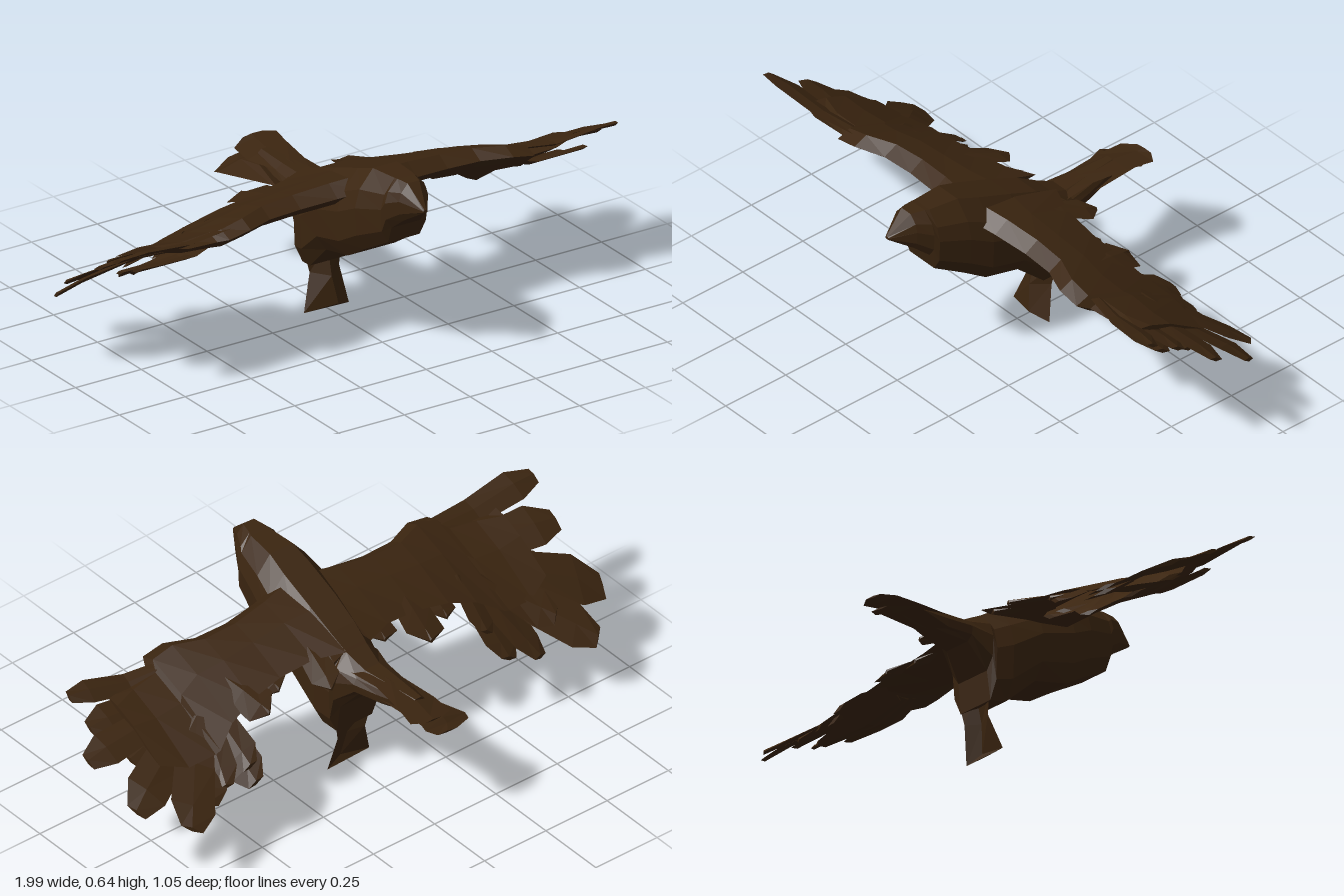
import * as THREE from 'three';

const plumage = new THREE.MeshStandardMaterial({ color: 0x3b2510, flatShading: true, side: THREE.DoubleSide });
plumage.name = 'dark brown plumage';

// Skin a list of equal-length rings of [x, y, z] points and cap both ends
function loft(rings) {
  const n = rings[0].length, index = [], last = (rings.length - 1) * n;
  for (let i = 0; i < rings.length - 1; i++) {
    for (let j = 0; j < n; j++) {
      const a = i * n + j, b = i * n + (j + 1) % n;
      index.push(a, b, b + n, a, b + n, a + n);
    }
  }
  for (let j = 1; j < n - 1; j++) index.push(0, j + 1, j, last, last + j, last + j + 1);
  const g = new THREE.BufferGeometry();
  g.setAttribute('position', new THREE.Float32BufferAttribute(rings.flat(2), 3));
  g.setIndex(index);
  g.computeVertexNormals();
  return g;
}

function part(name, geometry, parent) {
  const mesh = new THREE.Mesh(geometry, plumage);
  mesh.name = name;
  parent.add(mesh);
}

// Height of the wing surface: slopes down to the rear, more so toward the tip, with a dip at the wrist
function wingHeight(x, z) {
  const ax = Math.abs(x), t = (ax - 0.2) / 0.7;
  const dip = 0.035 * Math.max(0, 1 - Math.abs(ax - 0.65) / 0.2);
  const droop = 0.16 * Math.min(0, z + 0.03) * Math.min(1, ax * 2);
  return 0.5 - 0.08 * t + z * (0.3 + 0.19 * t) - dip + droop;
}

// Feather with a low ridge, following the wing surface; it sinks by sag toward its tip
function feather(rx, rz, tx, tz, width, drop, sag) {
  const len = Math.hypot(tx - rx, tz - rz);
  const px = (tz - rz) / len, pz = -(tx - rx) / len;
  const tipWidth = Math.abs(rx) < 0.45 ? 0.08 : 0.5;
  return loft([[0, 0.7], [0.4, 0.9], [0.8, 1], [1, tipWidth]].map(([t, w]) => {
    const cx = rx + (tx - rx) * t, cz = rz + (tz - rz) * t, h = width * w / 2;
    const y = (x, z) => wingHeight(x, z) - drop - sag * t;
    const [ax, az, bx, bz] = [cx + px * h, cz + pz * h, cx - px * h, cz - pz * h];
    const m = y(cx, cz);
    return [[ax, y(ax, az), az], [cx, m + 0.008, cz], [bx, y(bx, bz), bz], [cx, m - 0.008, cz]];
  }));
}

// Feathers per wing: root |x|, root z, tip |x|, tip z, width, sag
const leftFeathers = [
  [0.55, 0.16, 0.91, 0.215, 0.08, 0], [0.55, 0.11, 0.91, 0.11, 0.11, 0], [0.6, 0.05, 0.99, 0.02, 0.11, 0],
  [0.6, 0, 0.94, -0.16, 0.13, 0], [0.58, -0.02, 0.81, -0.28, 0.14, 0.01], [0.56, -0.03, 0.7, -0.23, 0.12, 0.01],
  [0.55, 0, 0.62, -0.215, 0.11, 0.02], [0.52, 0, 0.52, -0.215, 0.11, 0.01], [0.43, 0.02, 0.38, -0.14, 0.13, 0],
  [0.32, 0.02, 0.3, -0.09, 0.12, 0], [0.13, 0.02, 0.165, -0.19, 0.1, 0], [0.08, 0, 0.1, -0.12, 0.1, 0]
];
const rightFeathers = [
  [0.55, 0.18, 0.975, 0.2, 0.1, 0], [0.55, 0.1, 0.95, 0.06, 0.14, 0], [0.6, 0.02, 0.98, -0.14, 0.16, 0.05],
  [0.6, -0.02, 0.84, -0.29, 0.15, 0.01], [0.58, -0.02, 0.74, -0.2, 0.13, 0], [0.54, -0.02, 0.62, -0.27, 0.12, 0.02],
  [0.5, 0, 0.475, -0.18, 0.09, 0.02], [0.38, 0.02, 0.37, -0.11, 0.1, 0], [0.28, 0.02, 0.25, -0.18, 0.14, 0],
  [0.13, 0.02, 0.11, -0.12, 0.12, 0]
];
// Wing arm stations: |x|, leading z, trailing z, thickness
const armStations = [
  [0.05, 0.24, -0.12, 0.07], [0.15, 0.22, -0.08, 0.07], [0.28, 0.205, -0.07, 0.065], [0.4, 0.21, -0.08, 0.06],
  [0.5, 0.25, -0.1, 0.055], [0.58, 0.25, -0.14, 0.05], [0.6, 0.21, -0.14, 0.045], [0.7, 0.2, -0.13, 0.03],
  [0.79, 0.17, -0.09, 0.01]
];

function wing(name, side, feathers) {
  const group = new THREE.Group();
  group.name = name;
  const rings = armStations.map(([ax, lead, trail, thick]) => {
    const x = ax * side, mid = (lead + trail) / 2, front = lead - 0.05;
    const ring = [
      [x, wingHeight(x, lead) - thick * 0.6, lead],
      [x, wingHeight(x, front) + 0.008, front],
      [x, wingHeight(x, mid) + 0.012, mid],
      [x, wingHeight(x, trail), trail],
      [x, wingHeight(x, mid) - thick * 0.8, mid],
      [x, wingHeight(x, front) - thick, front]
    ];
    return side > 0 ? ring.reverse() : ring;
  });
  part('wingArm', loft(rings), group);
  feathers.forEach(([rx, rz, tx, tz, w, sag], i) =>
    part('flightFeather' + (i + 1), feather(rx * side, rz, tx * side, tz, w, 0.004 + (i % 2) * 0.012, sag), group));
  // Shorter layer under the outer wing
  for (let i = 0; i < 5; i++) {
    const a = 0.1 - i * 0.42, rz = 0.1 - i * 0.03;
    part('underFeather' + (i + 1), feather(0.52 * side, rz,
      (0.52 + 0.33 * Math.cos(a)) * side, rz + 0.22 * Math.sin(a), 0.12, 0.04, 0.025), group);
  }
  return group;
}

// Flat tail blade from rows of z, right x, left x, right y, left y, half thickness
function tailBlade(rows) {
  return loft(rows.map(([z, x0, x1, y0, y1, h]) => {
    const m = (x0 + x1) / 2, y = (y0 + y1) / 2;
    return [[x0, y0, z], [m, y + h, z], [x1, y1, z], [m, y - h, z]];
  }));
}

export function createModel() {
  const bird = new THREE.Group();
  bird.name = 'bird';

  // Head and body: z, top, bottom, half width, centre x
  const half = [[0.4, 1], [0.85, 0.55], [1, 0.1], [0.96, -0.6], [0.68, -1]];
  const section = [...half, ...half.map(([u, v]) => [-u, v]).reverse()];
  const stations = [
    [0.525, 0.572, 0.562, 0.008, -0.02], [0.45, 0.64, 0.515, 0.055, -0.015], [0.402, 0.64, 0.475, 0.08, -0.012],
    [0.388, 0.638, 0.42, 0.088, -0.01], [0.28, 0.634, 0.36, 0.115, -0.01], [0.2, 0.605, 0.31, 0.13, -0.008],
    [0.07, 0.557, 0.28, 0.13, -0.005], [-0.04, 0.513, 0.18, 0.12, 0], [-0.098, 0.48, 0.17, 0.105, 0],
    [-0.11, 0.473, 0.27, 0.1, 0], [-0.18, 0.438, 0.355, 0.075, -0.005], [-0.27, 0.437, 0.36, 0.058, -0.01],
    [-0.4, 0.436, 0.385, 0.03, -0.015]
  ];
  part('body', loft(stations.map(([z, top, bottom, w, cx]) => section.map(([u, v]) =>
    [cx + u * w, (top + bottom) / 2 + v * (top - bottom) / 2, z]))), bird);

  // Tail: an upper blade to the left and a lower blade to the right
  part('upperTail', tailBlade([
    [-0.15, -0.06, 0.06, 0.42, 0.43, 0.012], [-0.27, -0.06, 0.05, 0.42, 0.435, 0.01],
    [-0.4, -0.08, 0.07, 0.41, 0.437, 0.01], [-0.49, -0.07, 0.09, 0.415, 0.435, 0.006],
    [-0.515, -0.02, 0.05, 0.43, 0.435, 0.003]
  ]), bird);
  part('lowerTail', tailBlade([
    [-0.15, -0.07, 0.05, 0.37, 0.38, 0.015], [-0.27, -0.072, 0.045, 0.37, 0.39, 0.012],
    [-0.47, -0.148, 0.03, 0.358, 0.39, 0.008], [-0.492, -0.145, 0.03, 0.35, 0.38, 0.006],
    [-0.527, -0.07, 0.01, 0.368, 0.375, 0.003]
  ]), bird);

  // Feet: a thin flared fan with a forward ridge; rows of right, ridge and left points
  const fan = [
    [[-0.07, 0.22, -0.1], [0.005, 0.22, -0.07], [0.08, 0.22, -0.1]],
    [[-0.05, 0.13, -0.09], [0.005, 0.12, -0.046], [0.062, 0.13, -0.09]],
    [[-0.09, 0.008, -0.062], [0.02, 0.027, -0.03], [0.082, 0.003, -0.064]]
  ];
  part('feet', loft(fan.map(([r, c, l]) => [r, [c[0], c[1], c[2] - 0.022], l, c])), bird);

  bird.add(wing('leftWing', 1, leftFeathers), wing('rightWing', -1, rightFeathers));
  return bird;
}
